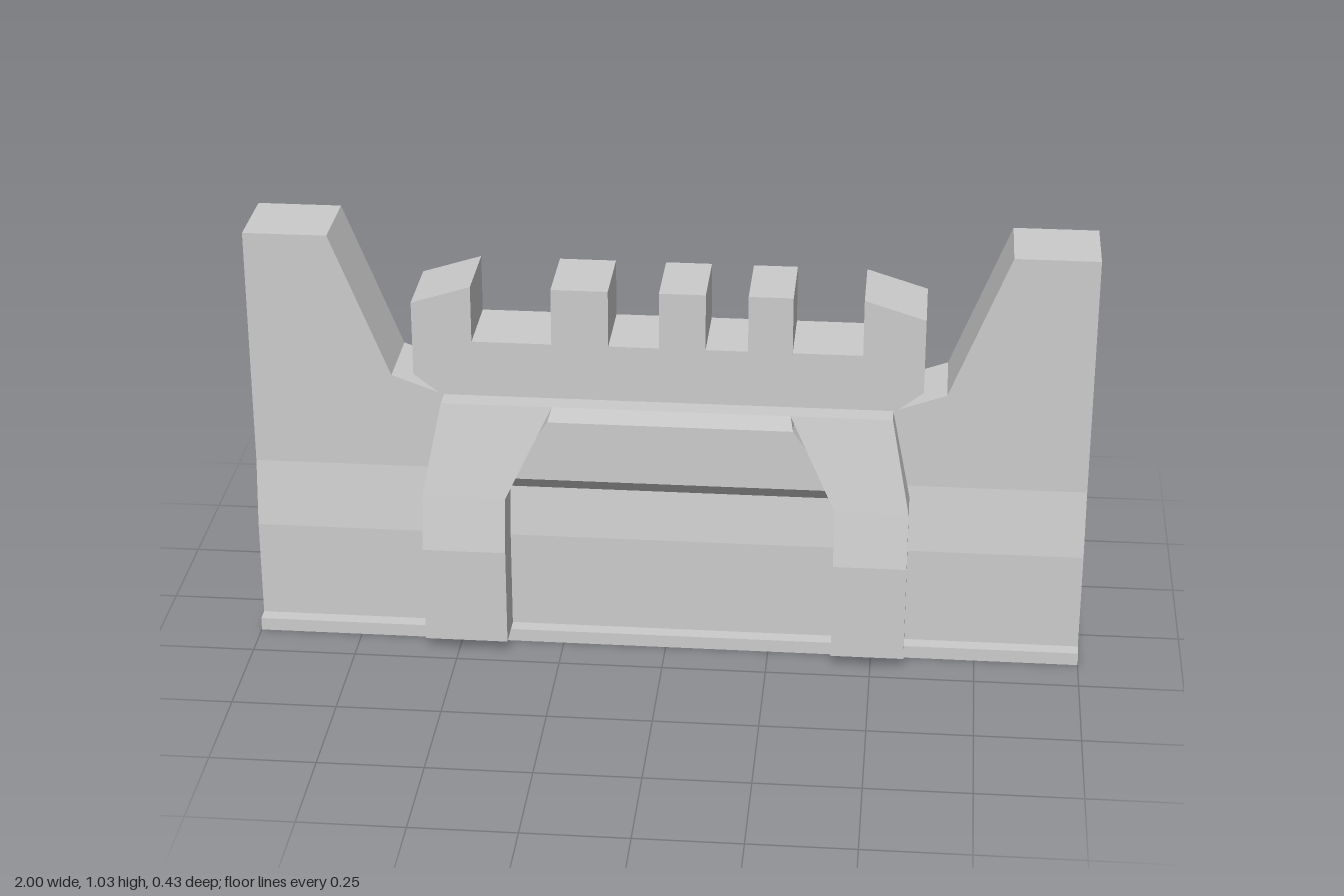
import * as THREE from 'three';

const material = new THREE.MeshStandardMaterial({ color: 0xcccccc, flatShading: true });

// Stacks rectangular rings [y, xMin, xMax, halfDepth] into a closed solid
function loft(name, rings) {
  const pos = [], index = [];
  for (const [y, a, b, z] of rings) pos.push(a, y, z, b, y, z, b, y, -z, a, y, -z);
  for (let r = 0; r < rings.length - 1; r++) {
    for (let i = 0; i < 4; i++) {
      const p = r * 4 + i, q = r * 4 + (i + 1) % 4;
      index.push(p, q, q + 4, p, q + 4, p + 4);
    }
  }
  const t = (rings.length - 1) * 4;
  index.push(0, 2, 1, 0, 3, 2, t, t + 1, t + 2, t, t + 2, t + 3);
  const indexed = new THREE.BufferGeometry();
  indexed.setAttribute('position', new THREE.Float32BufferAttribute(pos, 3));
  indexed.setIndex(index);
  const geometry = indexed.toNonIndexed();
  geometry.computeVertexNormals();
  const mesh = new THREE.Mesh(geometry, material);
  mesh.name = name;
  return mesh;
}

// Same solid on the other side of x = 0
const mirror = rings => rings.map(([y, a, b, z]) => [y, -b, -a, z]);

export function createModel() {
  const model = new THREE.Group();
  model.name = 'castleWall';

  // Plinth
  model.add(loft('plinth', [[0, -1, 1, 0.15], [0.032, -1, 1, 0.15]]));

  // Wall between the buttresses, leaning in above the foot
  model.add(loft('middleWall', [
    [0.03, -0.5, 0.5, 0.115], [0.275, -0.5, 0.5, 0.115],
    [0.44, -0.5, 0.5, 0.095], [0.634, -0.5, 0.5, 0.095],
  ]));

  // Tall end walls with a sloping inner shoulder
  const endWall = [
    [0.03, 0.5, 1, 0.115], [0.275, 0.5, 1, 0.115], [0.44, 0.5, 1, 0.095],
    [0.635, 0.535, 1, 0.095], [0.68, 0.66, 1, 0.095], [1.033, 0.8, 1, 0.095],
  ];
  model.add(loft('leftEndWall', endWall), loft('rightEndWall', mirror(endWall)));

  // Buttresses on both faces, leaning toward the middle at the top
  const buttress = [
    [0.032, 0.395, 0.58, 0.213], [0.275, 0.395, 0.58, 0.213],
    [0.41, 0.395, 0.58, 0.19], [0.635, 0.285, 0.535, 0.145],
  ];
  model.add(loft('leftButtress', buttress.map(([y, a, b, z]) => [y, a + 0.01, b, z])));
  model.add(loft('rightButtress', mirror(buttress.map(([y, a, b, z]) => [y, a - 0.015, b, z]))));

  // Overhanging band with chamfered top and bottom
  model.add(loft('overhangBand', [
    [0.4, -0.385, 0.41, 0.1], [0.45, -0.38, 0.405, 0.16],
    [0.602, -0.28, 0.302, 0.16], [0.635, -0.27, 0.295, 0.145],
  ]));

  // Battlements: peaked corner merlons and three square ones
  const floor = 0.775, top = 0.915;
  const outline = [[-0.54, 0.634], [0.54, 0.634], [0.605, 0.685], [0.605, 0.87], [0.46, top], [0.46, floor]];
  for (const [a, b] of [[0.19, 0.295], [-0.02, 0.09], [-0.275, -0.14]]) {
    outline.push([b, floor], [b, top], [a, top], [a, floor]);
  }
  outline.push([-0.465, floor], [-0.465, top], [-0.607, 0.87], [-0.607, 0.685]);
  const shape = new THREE.Shape(outline.map(([x, y]) => new THREE.Vector2(x, y)));
  const geometry = new THREE.ExtrudeGeometry(shape, { depth: 0.19, bevelEnabled: false });
  geometry.translate(0, 0, -0.095);
  const battlements = new THREE.Mesh(geometry, material);
  battlements.name = 'battlements';
  model.add(battlements);

  return model;
}
